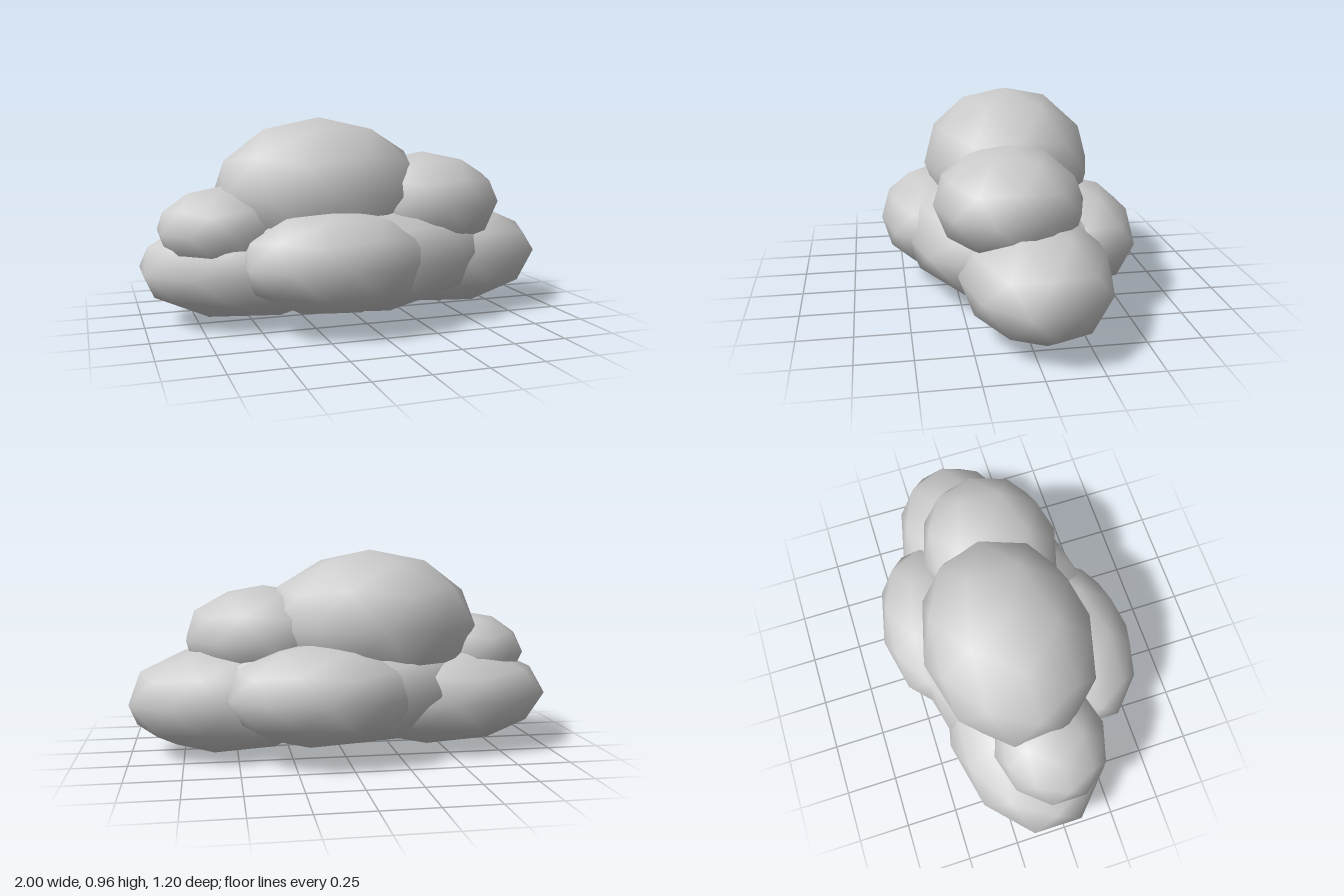
import * as THREE from 'three';

// name, centre, radii of each puff
const PUFFS = [
  ['body', [0, 0.31, 0], [0.69, 0.3, 0.51]],
  ['leftPuff', [0.53, 0.26, -0.05], [0.49, 0.26, 0.34]],
  ['rightPuff', [-0.48, 0.26, -0.05], [0.55, 0.25, 0.38]],
  ['frontPuff', [-0.17, 0.32, 0.31], [0.44, 0.24, 0.29]],
  ['backPuff', [0.12, 0.31, -0.3], [0.45, 0.24, 0.3]],
  ['topPuff', [-0.15, 0.6, -0.03], [0.52, 0.36, 0.41]],
  ['upperLeftPuff', [0.36, 0.54, 0.04], [0.39, 0.25, 0.34]],
  ['upperRightPuff', [-0.63, 0.45, 0.02], [0.31, 0.2, 0.27]],
];

export function createModel() {
  const cloud = new THREE.Group();
  cloud.name = 'cloud';

  // Coarse smooth-shaded ball, turned so that a vertex sits at each pole
  const ball = new THREE.IcosahedronGeometry(1, 1);
  ball.rotateZ(Math.atan(2 / (1 + Math.sqrt(5))));
  const material = new THREE.MeshStandardMaterial({ color: 0xcccccc });

  // Overlapping squashed puffs
  for (const [name, centre, radii] of PUFFS) {
    const puff = new THREE.Mesh(ball, material);
    puff.name = name;
    puff.position.set(...centre);
    puff.scale.set(...radii);
    cloud.add(puff);
  }
  return cloud;
}
